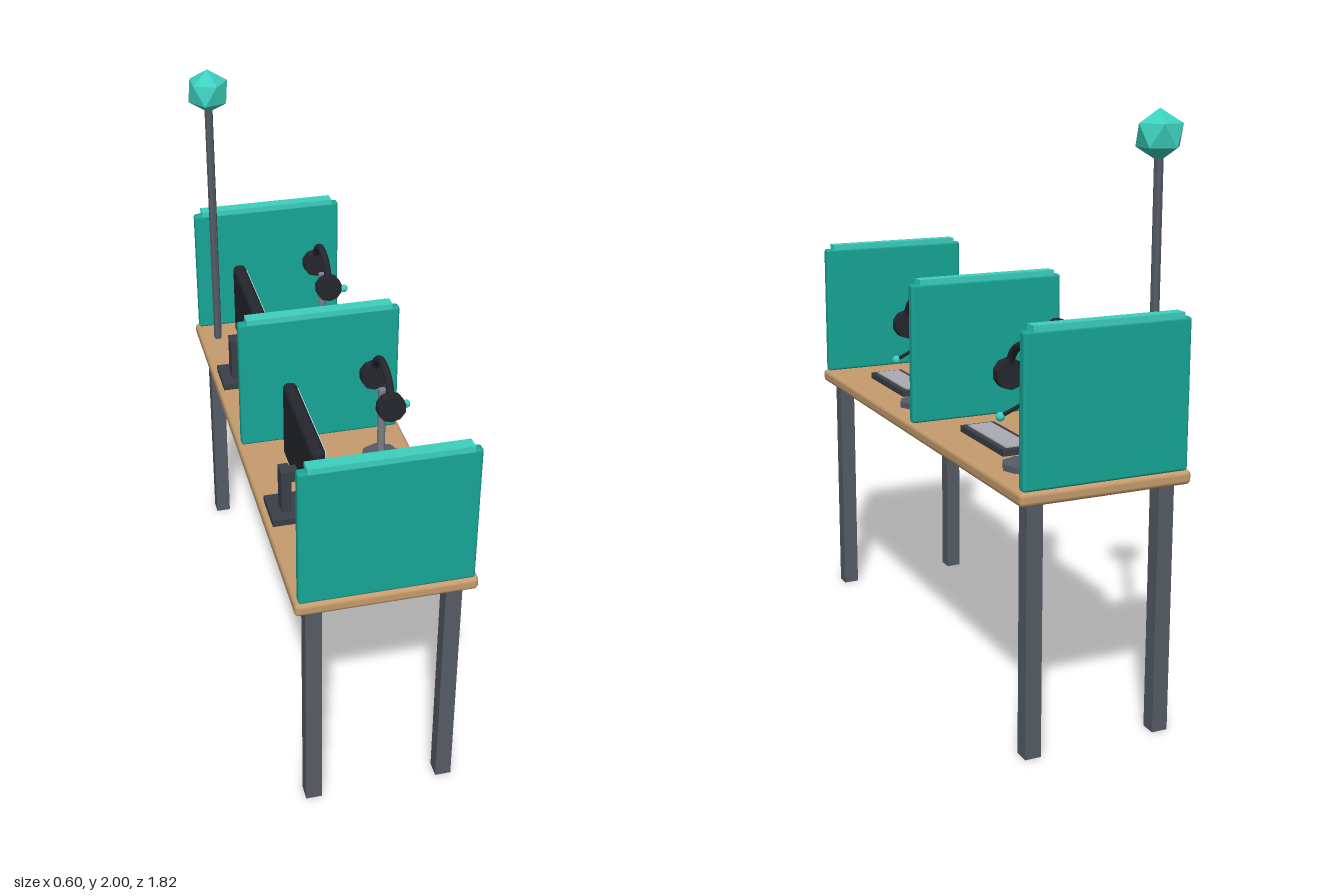
import * as THREE from 'three';
import { RoundedBoxGeometry } from 'three/addons/geometries/RoundedBoxGeometry.js';

const mat = (color, flat = false) => new THREE.MeshStandardMaterial({ color, flatShading: flat });
const M = {
  wood: mat(0xc69c6d), metal: mat(0x565c66, true), teal: mat(0x17a697), lightTeal: mat(0x3dd0be),
  ball: mat(0x3dd0be, true), dark: mat(0x24272d), cup: mat(0x24272d, true), stand: mat(0x3a3f47),
  pole: mat(0x7a808a), keys: mat(0xa9abb3), glass: mat(0xb8d3e2), blue: mat(0x4a90bd), amber: mat(0xdf9f22),
};

function add(parent, name, geometry, material, x = 0, y = 0, z = 0) {
  const mesh = new THREE.Mesh(geometry, material);
  mesh.name = name;
  mesh.position.set(x, y, z);
  parent.add(mesh);
  return mesh;
}

const box = (w, h, d) => new THREE.BoxGeometry(w, h, d);
const rounded = (w, h, d, r) => new RoundedBoxGeometry(w, h, d, 2, r);
const rod = (r, h, n) => new THREE.CylinderGeometry(r, r, h, n);

const TOP = 0.89; // height of the desk surface

// Monitor facing +x; tiles are [name, material, z, y, width, height]
function monitor(tiles) {
  const g = new THREE.Group();
  g.name = 'monitor';
  add(g, 'monitorBase', box(0.184, 0.024, 0.148), M.stand, -0.187, TOP + 0.012, -0.004);
  add(g, 'monitorNeck', box(0.034, 0.17, 0.056), M.stand, -0.223, TOP + 0.095, 0);
  add(g, 'monitorBracket', box(0.04, 0.04, 0.04), M.stand, -0.19, 1.045, 0);
  add(g, 'monitorBody', rounded(0.048, 0.284, 0.431, 0.02), M.dark, -0.158, 1.126, 0);
  add(g, 'screen', box(0.006, 0.24, 0.392), M.glass, -0.133, 1.128, 0.002);
  for (const [name, material, z, y, w, h] of tiles)
    add(g, name, box(0.006, h, w), material, -0.128, y, z);
  return g;
}

function keyboard() {
  const g = new THREE.Group();
  g.name = 'keyboard';
  add(g, 'keyboardCase', box(0.126, 0.022, 0.34), M.stand, 0.114, TOP + 0.011, 0.08);
  add(g, 'keyPlate', box(0.088, 0.006, 0.303), M.keys, 0.114, TOP + 0.023, 0.08);
  return g;
}

// Headset with boom microphone above its stand
function headset() {
  const g = new THREE.Group();
  g.name = 'headset';
  g.position.set(0.172, 0, -0.23);
  add(g, 'headsetStandBase', rod(0.07, 0.02, 8), M.metal, 0, TOP + 0.01);
  add(g, 'headsetStandPole', rod(0.014, 0.28, 10), M.pole, 0, TOP + 0.148);
  const band = add(g, 'headband', new THREE.TorusGeometry(0.106, 0.014, 8, 20, Math.PI), M.dark, 0, 1.174);
  band.rotation.y = Math.PI / 2;
  for (const s of [-1, 1]) {
    const cup = add(g, 'earCup', rod(0.05, 0.038, 10), M.cup, 0, 1.172, s * 0.107);
    cup.rotation.x = Math.PI / 2;
  }
  const a = new THREE.Vector3(0.01, 1.145, -0.1), b = new THREE.Vector3(0.1, 1.078, -0.042);
  add(g, 'microphoneArm', new THREE.TubeGeometry(new THREE.LineCurve3(a, b), 1, 0.006, 6), M.dark);
  add(g, 'microphone', new THREE.SphereGeometry(0.015, 10, 8), M.lightTeal, b.x, b.y, b.z);
  return g;
}

export function createModel() {
  const model = new THREE.Group();
  model.name = 'twoSeatDesk';

  // Table
  add(model, 'tabletop', rounded(0.597, 0.047, 1.824, 0.016), M.wood, 0, TOP - 0.0235, 0);
  for (const x of [-0.23, 0.23])
    for (const z of [-0.845, 0.845])
      add(model, 'leg', box(0.055, 0.85, 0.055), M.metal, x, 0.425, z);

  // Divider panels with caps
  for (const z of [-0.887, -0.012, 0.887]) {
    add(model, 'dividerPanel', rounded(0.572, 0.49, 0.036, 0.01), M.teal, 0, TOP + 0.243, z);
    add(model, 'dividerCap', box(0.514, 0.02, 0.044), M.lightTeal, 0, 1.385, z);
  }

  // Status light on a pole
  add(model, 'lightPole', rod(0.015, 0.98, 8), M.metal, -0.23, TOP + 0.49, -0.773);
  const ball = new THREE.IcosahedronGeometry(0.081, 0);
  ball.rotateZ(-Math.atan(2 / (1 + Math.sqrt(5)))); // one corner straight up
  add(model, 'statusLight', ball, M.ball, -0.23, 1.919, -0.773);

  // Workstations
  const screens = [
    [['titleBar', M.blue, 0.002, 1.202, 0.328, 0.036],
      ['leftTile', M.amber, 0.087, 1.095, 0.15, 0.112],
      ['rightTile', M.lightTeal, -0.084, 1.095, 0.15, 0.112]],
    [['longBar', M.blue, -0.001, 1.188, 0.33, 0.034],
      ['shortBar', M.lightTeal, 0.046, 1.122, 0.234, 0.033],
      ['mediumBar', M.amber, 0.028, 1.058, 0.272, 0.036]],
  ];
  [0.431, -0.442].forEach((z, i) => {
    const station = new THREE.Group();
    station.name = 'workstation';
    station.position.z = z;
    station.add(monitor(screens[i]), keyboard(), headset());
    model.add(station);
  });
  return model;
}
